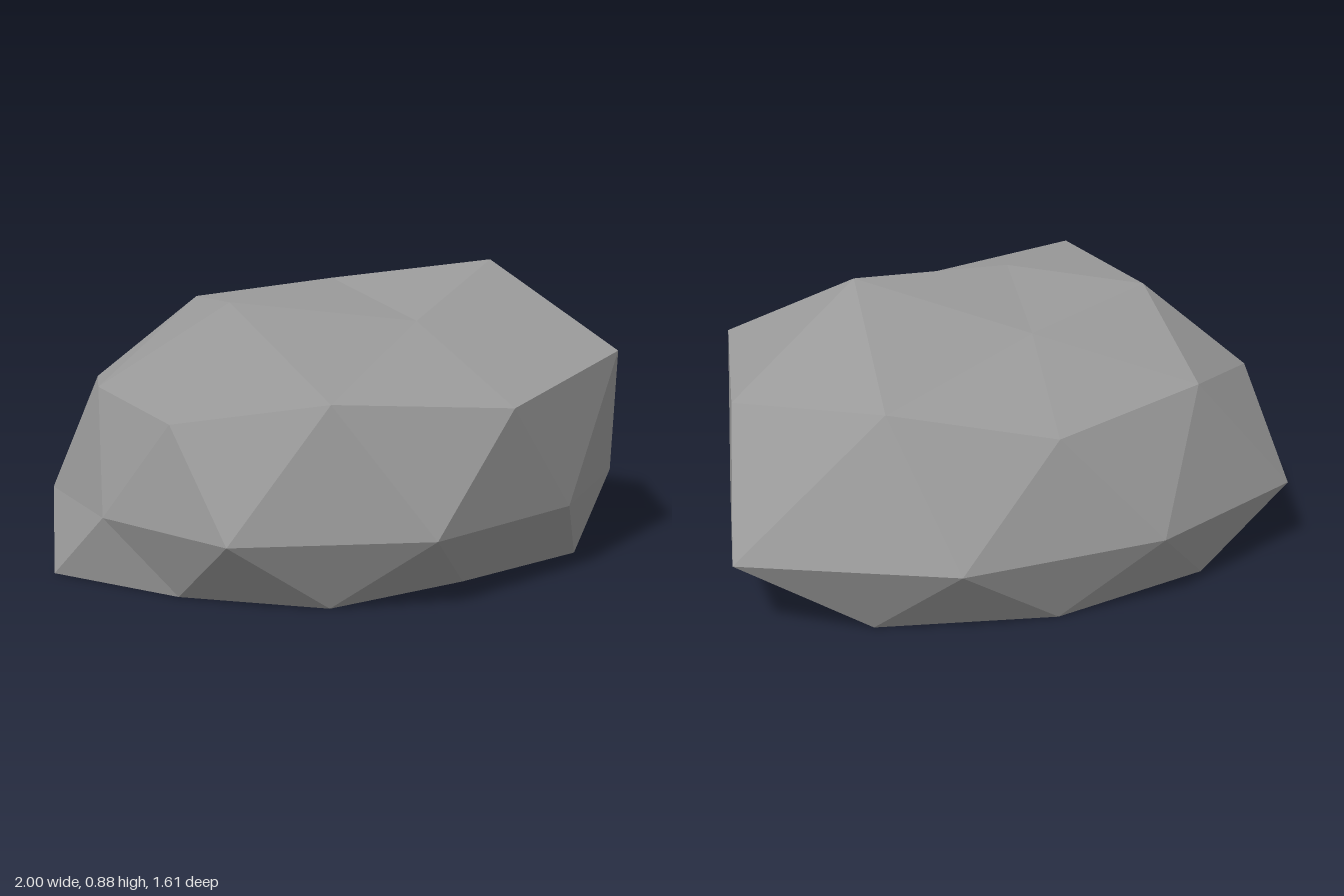
import * as THREE from 'three';

// Faceted boulder: a subdivided icosahedron with uneven radii and a flat base.
// Each ring runs clockwise seen from above, starting at +x; points are [x, y, z].
const peak = [-0.11, 0.845, 0.01];
const crown = [
  [0.435, 0.88, 0.01], [0.02, 0.75, 0.36], [-0.52, 0.82, 0.26],
  [-0.48, 0.78, -0.21], [0.03, 0.73, -0.33],
];
const shoulder = [
  [0.845, 0.57, 0.01], [0.64, 0.64, 0.47], [0.16, 0.545, 0.72], [-0.36, 0.58, 0.645], [-0.74, 0.505, 0.385],
  [-0.85, 0.555, 0.01], [-0.76, 0.515, -0.39], [-0.36, 0.585, -0.63], [0.16, 0.525, -0.655], [0.57, 0.6, -0.4],
];
const girth = [
  [0.76, 0.245], [0.41, 0.6], [-0.11, 0.8], [-0.66, 0.64], [-0.895, 0.21],
  [-0.95, -0.21], [-0.71, -0.67], [-0.11, -0.805], [0.51, -0.7], [1, -0.29],
].map(([x, z]) => [x, 0.21, z]);
const foot = [
  [0.78, 0.01], [0.54, 0.41], [0.09, 0.545], [-0.36, 0.63], [-0.72, 0.37],
  [-1, 0.01], [-0.72, -0.36], [-0.36, -0.68], [0.18, -0.69], [0.655, -0.46],
].map(([x, z]) => [x, 0, z]);

function buildGeometry() {
  const positions = [];
  const face = (a, b, c) => positions.push(...a, ...b, ...c);

  // Cap: four facets for each fifth of the top
  for (let j = 0; j < 5; j++) {
    const a = crown[j], b = crown[(j + 1) % 5];
    const s0 = shoulder[2 * j], s1 = shoulder[2 * j + 1], s2 = shoulder[(2 * j + 2) % 10];
    face(peak, b, a);
    face(a, s1, s0);
    face(a, b, s1);
    face(b, s2, s1);
  }

  // Zigzag side bands and flat base
  for (let k = 0; k < 10; k++) {
    const next = (k + 1) % 10, prev = (k + 9) % 10;
    face(shoulder[k], shoulder[next], girth[k]);
    face(shoulder[k], girth[k], girth[prev]);
    face(girth[k], foot[next], foot[k]);
    face(girth[prev], girth[k], foot[k]);
    face([0, 0, 0], foot[k], foot[next]);
  }

  const geometry = new THREE.BufferGeometry();
  geometry.setAttribute('position', new THREE.Float32BufferAttribute(positions, 3));
  geometry.computeVertexNormals(); // unshared corners give flat facets
  return geometry;
}

export function createModel() {
  const stone = new THREE.MeshStandardMaterial({ color: 0x999999 });
  stone.name = 'grey stone';
  stone.flatShading = true;

  const boulder = new THREE.Mesh(buildGeometry(), stone);
  boulder.name = 'boulder';

  const model = new THREE.Group();
  model.name = 'rock';
  model.add(boulder);
  return model;
}
